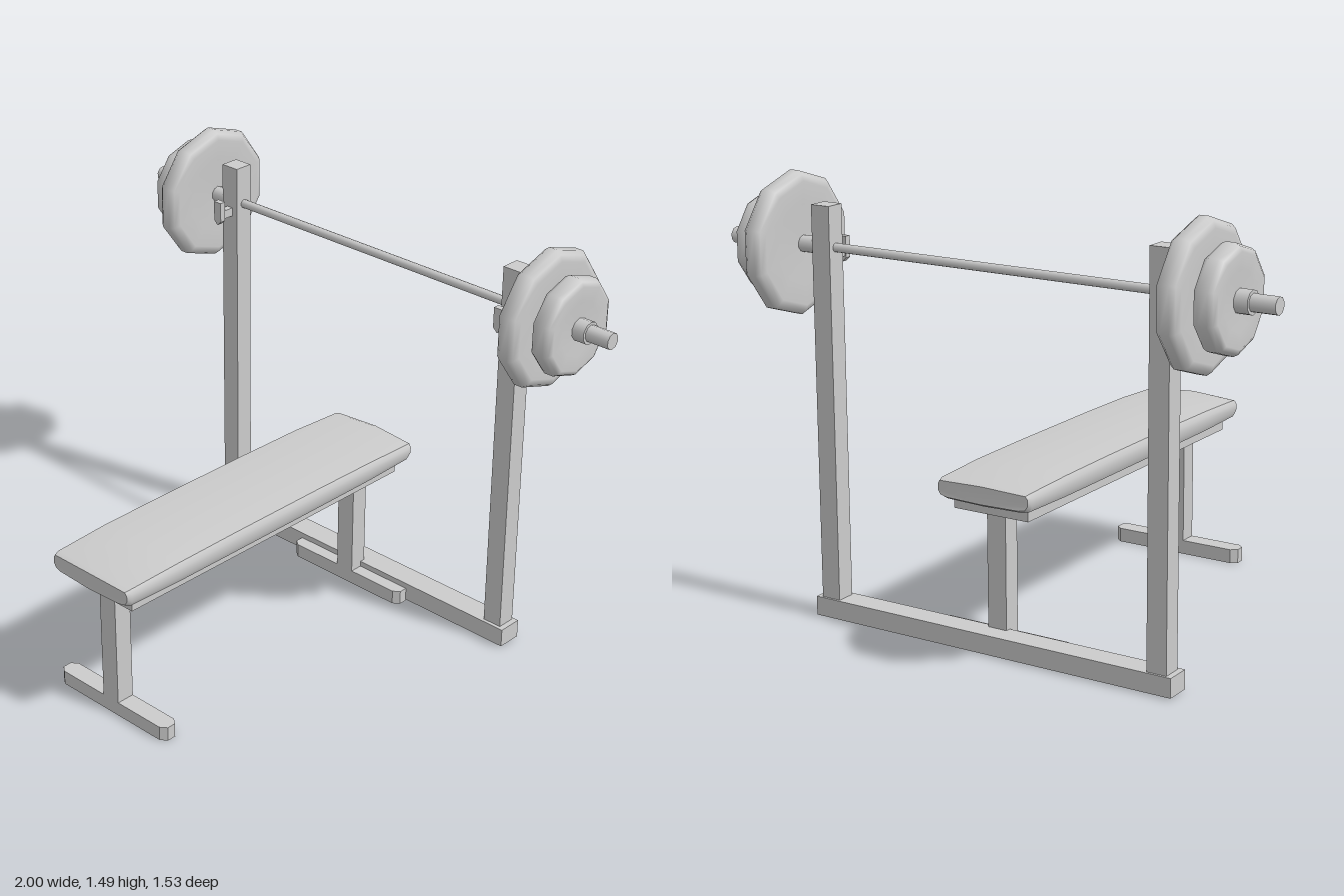
import * as THREE from 'three';
import { toCreasedNormals } from 'three/addons/utils/BufferGeometryUtils.js';

const grey = new THREE.MeshStandardMaterial({ color: 0xcccccc });
grey.name = 'light grey';

function add(parent, name, geometry) {
  const mesh = new THREE.Mesh(geometry, grey);
  mesh.name = name;
  parent.add(mesh);
  return mesh;
}

// Box given by its lower and upper limits on each axis
function box(parent, name, [x0, x1], [y0, y1], [z0, z1]) {
  const mesh = add(parent, name, new THREE.BoxGeometry(x1 - x0, y1 - y0, z1 - z0));
  mesh.position.set((x0 + x1) / 2, (y0 + y1) / 2, (z0 + z1) / 2);
  return mesh;
}

// Cylinder along x from x0 to x1
function rod(parent, name, radius, x0, x1, sides = 10) {
  const g = new THREE.CylinderGeometry(radius, radius, x1 - x0, sides);
  g.rotateZ(-Math.PI / 2).rotateX(-Math.PI / 2);
  add(parent, name, g).position.x = (x0 + x1) / 2;
}

// Ten-sided weight plate with a rounded rim, turned about x
function plate(parent, name, radius, x0, x1) {
  const w = x1 - x0;
  const profile = [
    [0, 0.1], [0.55, 0.06], [0.85, 0], [0.94, 0.1], [0.99, 0.3],
    [0.99, 0.7], [0.94, 0.9], [0.85, 1], [0.55, 0.94], [0, 0.9],
  ].map(([r, t]) => new THREE.Vector2(r * radius / 0.99, t * w));
  const g = new THREE.LatheGeometry(profile, 10);
  g.rotateZ(-Math.PI / 2).rotateX(-Math.PI / 2);
  add(parent, name, g).position.x = x0;
}

// Foot outline with clipped ends, inset by d
function footOutline(d, Type = THREE.Shape) {
  const L = 0.25 - d, W = 0.0325 - d, c = 0.022, n = 0.016 - d / 2;
  return new Type([
    [L, -n], [L, n], [L - c, W], [-L + c, W],
    [-L, n], [-L, -n], [-L + c, -W], [L - c, -W],
  ].map(([x, y]) => new THREE.Vector2(x, y)));
}

// Hollow foot, open underneath
function foot(parent, name, z) {
  const group = new THREE.Group();
  group.name = name;
  const rim = footOutline(0);
  rim.holes.push(footOutline(0.008, THREE.Path));
  const slab = (shape, y, h) => new THREE.ExtrudeGeometry(shape, { depth: h, bevelEnabled: false })
    .rotateX(-Math.PI / 2).translate(0, y, 0);
  add(group, 'footRim', slab(rim, 0, 0.042));
  add(group, 'footTop', slab(footOutline(0), 0.042, 0.008));
  group.position.z = z;
  parent.add(group);
}

// Cushion lofted through rounded sections along z
function cushionGeometry() {
  const half = [[0.2, 0.18, 0.587, 0.493], [0.45, 0.18, 0.584, 0.494],
    [0.655, 0.176, 0.574, 0.498], [0.672, 0.17, 0.567, 0.508]];
  const stations = [
    ...half.map(([z, ...s]) => [-z, ...s]).reverse(), ...half,
  ];
  const positions = [], index = [];
  const N = 12;
  stations.forEach(([z, w, top, bottom]) => {
    const h = top - bottom;
    const section = [
      [0, 0], [0.8, 0.02], [0.94, 0.1], [1, 0.35], [1, 0.7], [0.95, 0.88], [0, 1],
    ];
    const ring = [...section, ...section.slice(1, -1).reverse().map(([x, y]) => [-x, y])];
    // end faces bow out slightly in the middle
    ring.forEach(([x, y]) => positions.push(
      x * w, bottom + y * h, z + Math.sign(z) * 0.008 * (1 - x * x) + 0.085));
  });
  for (let i = 0; i < stations.length - 1; i++) {
    for (let j = 0; j < N; j++) {
      const a = i * N + j, b = i * N + (j + 1) % N;
      index.push(a, b, b + N, a, b + N, a + N);
    }
  }
  // end caps
  const last = (stations.length - 1) * N;
  for (let j = 1; j < N - 1; j++) {
    index.push(0, j + 1, j, last, last + j, last + j + 1);
  }
  const g = new THREE.BufferGeometry();
  g.setAttribute('position', new THREE.Float32BufferAttribute(positions, 3));
  g.setIndex(index);
  return toCreasedNormals(g, 0.75);
}

export function createModel() {
  const model = new THREE.Group();
  model.name = 'weightBench';

  // Bench
  const bench = new THREE.Group();
  bench.name = 'bench';
  model.add(bench);
  add(bench, 'cushion', cushionGeometry());
  box(bench, 'seatBoard', [-0.14, 0.14], [0.46, 0.493], [-0.54, 0.71]);
  for (const [name, z] of [['front', 0.655], ['rear', -0.478]]) {
    box(bench, name + 'Leg', [-0.035, 0.035], [0.042, 0.46], [z - 0.0325, z + 0.0325]);
    foot(bench, name + 'Foot', z);
  }

  // Rack
  const rack = new THREE.Group();
  rack.name = 'rack';
  model.add(rack);
  box(rack, 'baseBeam', [-0.68, 0.68], [0.005, 0.07], [-0.58, -0.492]);
  for (const s of [-1, 1]) {
    const x = s * 0.625;
    box(rack, 'upright', [x - 0.035, x + 0.035], [0.07, 1.39], [-0.572, -0.505]);
    box(rack, 'hookArm', [x - 0.012, x + 0.012], [1.21, 1.24], [-0.51, -0.455]);
    // pointed hook tip
    const tip = new THREE.Shape([[-0.016, 0.275], [-0.016, 0.205], [0, 0.19], [0.016, 0.205], [0.016, 0.275]]
      .map(([u, v]) => new THREE.Vector2(u, v)));
    add(rack, 'hookTip', new THREE.ExtrudeGeometry(tip, { depth: 0.022, bevelEnabled: false }))
      .position.set(x, 1, -0.465);
  }

  // Barbell
  const barbell = new THREE.Group();
  barbell.name = 'barbell';
  barbell.position.set(0, 1.253, -0.54);
  model.add(barbell);
  rod(barbell, 'bar', 0.015, -0.66, 0.66);
  for (const turn of [0, Math.PI]) {
    const end = new THREE.Group();
    end.name = 'barbellEnd';
    end.rotation.y = turn;
    barbell.add(end);
    rod(end, 'sleeve', 0.028, 0.64, 1);
    plate(end, 'largePlate', 0.236, 0.713, 0.79);
    plate(end, 'smallPlate', 0.168, 0.798, 0.877);
    rod(end, 'collar', 0.038, 0.865, 0.915);
  }
  return model;
}
